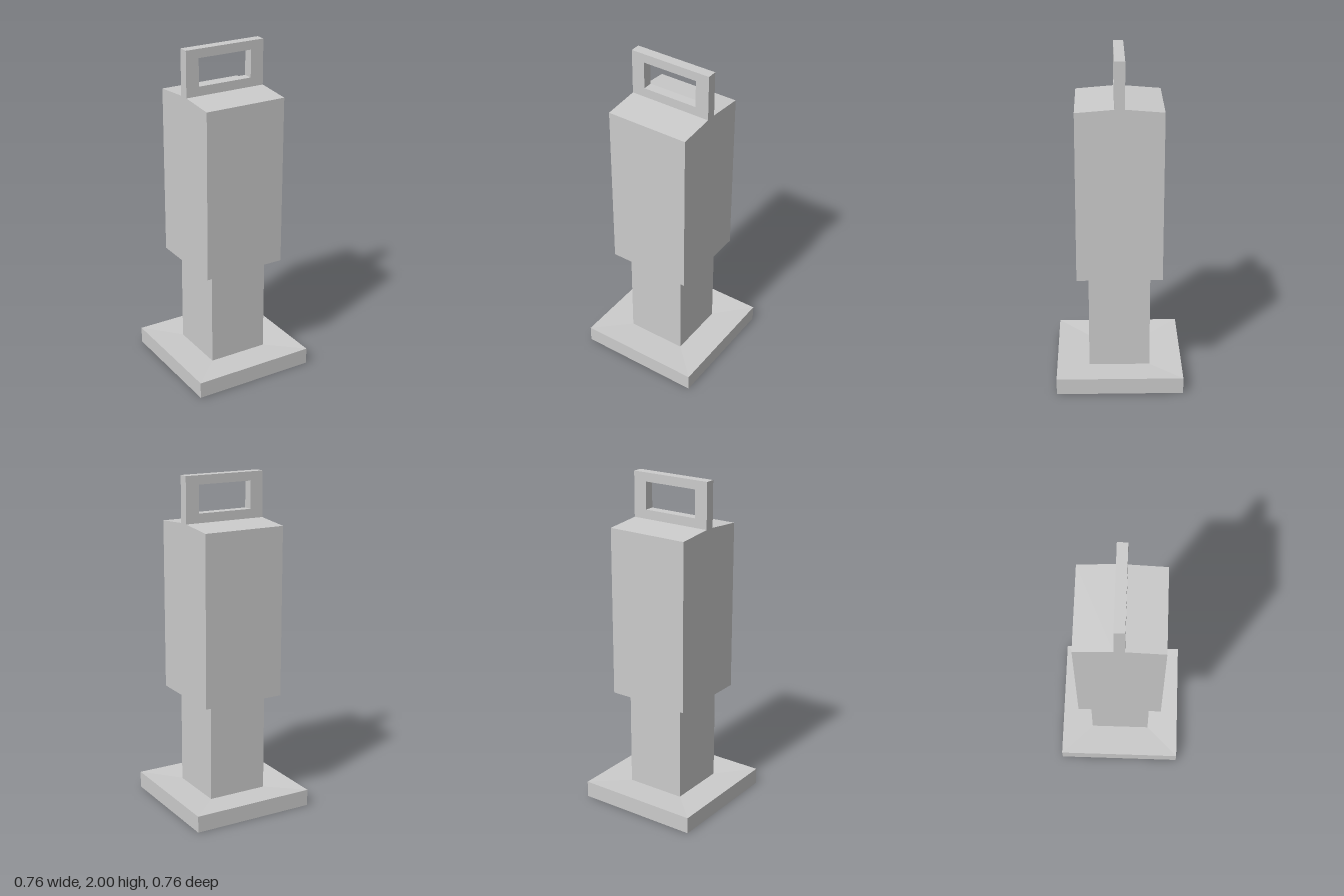
import * as THREE from 'three';

const material = new THREE.MeshStandardMaterial({ color: 0xcccccc, flatShading: true });

function add(group, name, geometry) {
  const mesh = new THREE.Mesh(geometry, material);
  mesh.name = name;
  group.add(mesh);
  return mesh;
}

function shapeFrom(points) {
  return new THREE.Shape(points.map(([x, y]) => new THREE.Vector2(x, y)));
}

// Extrusion centred on its depth axis
function extrude(shape, depth) {
  return new THREE.ExtrudeGeometry(shape, { depth, bevelEnabled: false }).translate(0, 0, -depth / 2);
}

// Square solid from a profile of [half width, height], listed bottom to top
function squareLathe(profile) {
  const points = profile.map(([half, y]) => new THREE.Vector2(half * Math.SQRT2, y));
  return new THREE.LatheGeometry(points, 4, Math.PI / 4);
}

export function createModel() {
  const model = new THREE.Group();
  model.name = 'handledPost';

  const baseHalf = 0.378, postHalf = 0.183, bodyHalf = 0.253, handleHalf = 0.03;
  const bodyBottom = 0.69, eaves = 1.71, ridge = 1.728;

  // Square foot plate, its top dipping slightly towards the post
  add(model, 'basePlate', squareLathe([
    [0, 0], [baseHalf, 0], [baseHalf, 0.1], [postHalf, 0.09], [0, 0.09],
  ]));

  // Square post between plate and body
  const postBottom = 0.09;
  add(model, 'post', new THREE.BoxGeometry(postHalf * 2, bodyBottom - postBottom, postHalf * 2))
    .position.y = (bodyBottom + postBottom) / 2;

  // Body with front and back roof slopes rising to the handle
  const body = extrude(shapeFrom([
    [-bodyHalf, bodyBottom], [bodyHalf, bodyBottom], [bodyHalf, eaves],
    [handleHalf, ridge], [-handleHalf, ridge], [-bodyHalf, eaves],
  ]), bodyHalf * 2);
  add(model, 'body', body.rotateY(Math.PI / 2));

  // Flat handle with a rectangular grip opening
  const handle = shapeFrom([[-bodyHalf, ridge], [bodyHalf, ridge], [bodyHalf, 2], [-bodyHalf, 2]]);
  handle.holes.push(shapeFrom([[-0.172, 1.783], [-0.172, 1.947], [0.17, 1.947], [0.17, 1.783]]));
  add(model, 'handle', extrude(handle, handleHalf * 2));

  return model;
}
